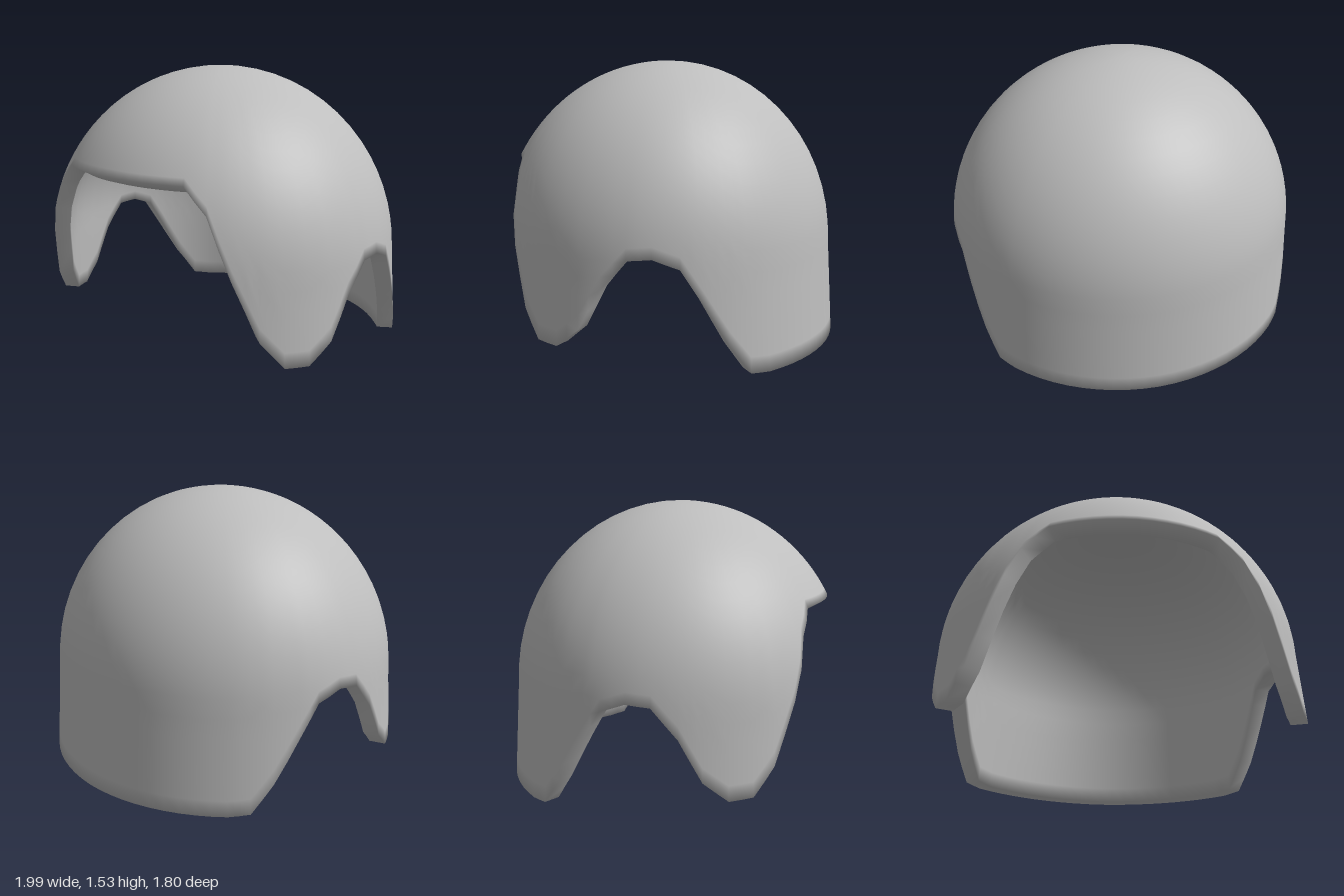
import * as THREE from 'three';
import { mergeVertices } from 'three/addons/utils/BufferGeometryUtils.js';

const CENTRE_Y = 0.53, CENTRE_Z = 0.06, INNER = 0.91, FLARE = 0.065;
const FRONT_DEPTH = 0.955, BACK_DEPTH = 0.932;

// Lower edge of the shell for one half: [degrees from the front, height]
const EDGE = [
  [0, 1.012], [30, 1.007], [37.6, 0.88], [44.7, 0.58], [52.5, 0.28],    // brim and face opening
  [59.5, 0.145], [67, 0.14], [74.5, 0.24], [81.4, 0.45],                // cheek guard
  [89.2, 0.6], [96.8, 0.61], [105, 0.56], [111.2, 0.4], [119.6, 0.17],  // ear cut-out
  [126.4, 0.02], [133, 0.007], [180, 0],                                // neck guard
];

// Columns around the shell, subdivided between the edge corners and mirrored
function edgeColumns() {
  const half = [];
  for (let i = 0; i < EDGE.length - 1; i++) {
    const [t0, y0] = EDGE[i], [t1, y1] = EDGE[i + 1];
    const n = Math.ceil((t1 - t0) / 5);
    for (let k = 0; k < n; k++) half.push([t0 + (t1 - t0) * k / n, y0 + (y1 - y0) * k / n]);
  }
  const mirrored = half.slice(1).reverse().map(([t, y]) => [360 - t, y]);
  return [...half, EDGE[EDGE.length - 1], ...mirrored];
}

// Point on a dome with straight, slightly flared walls below its equator
function shellPoint(theta, a, scale) {
  const below = Math.max(0, a - Math.PI / 2);
  const r = below > 0 ? scale + FLARE * below : scale * Math.sin(a);
  const y = below > 0 ? CENTRE_Y - below : CENTRE_Y + scale * Math.cos(a);
  const c = Math.cos(theta);
  return [r * Math.sin(theta), y, CENTRE_Z + (c > 0 ? FRONT_DEPTH : BACK_DEPTH) * r * c];
}

function shellGeometry() {
  const columns = edgeColumns(), rows = 20, positions = [], index = [];
  // Fractions from crown to edge, with a narrow last band that softens the rim
  const fractions = Array.from({ length: rows }, (_, i) => 0.96 * i / (rows - 1));
  fractions.push(1);
  const path = [
    ...fractions.map((f) => [f, 1]),
    ...fractions.slice().reverse().map((f) => [f, INNER]),
  ];
  for (const [f, scale] of path) {
    for (const [deg, y] of columns) {
      const d = y - CENTRE_Y;
      const end = d > 0 ? Math.acos(d) : Math.PI / 2 - d;
      positions.push(...shellPoint(THREE.MathUtils.degToRad(deg), f * end, scale));
    }
  }
  const n = columns.length;
  for (let i = 0; i < path.length - 1; i++) {
    for (let j = 0; j < n; j++) {
      const k = (j + 1) % n;
      const a = i * n + j, b = a + n, c = (i + 1) * n + k, d = i * n + k;
      if (i < path.length - 2) index.push(a, b, c);
      if (i > 0) index.push(a, c, d);
    }
  }
  const geometry = new THREE.BufferGeometry();
  geometry.setAttribute('position', new THREE.Float32BufferAttribute(positions, 3));
  geometry.setIndex(index);
  const merged = mergeVertices(geometry, 1e-5);
  merged.computeVertexNormals();
  return merged;
}

export function createModel() {
  const shellGrey = new THREE.MeshStandardMaterial({ color: 0xbebebe });
  shellGrey.name = 'shellGrey';
  const group = new THREE.Group();
  group.name = 'helmet';
  const shell = new THREE.Mesh(shellGeometry(), shellGrey);
  shell.name = 'helmetShell';
  group.add(shell);
  return group;
}
